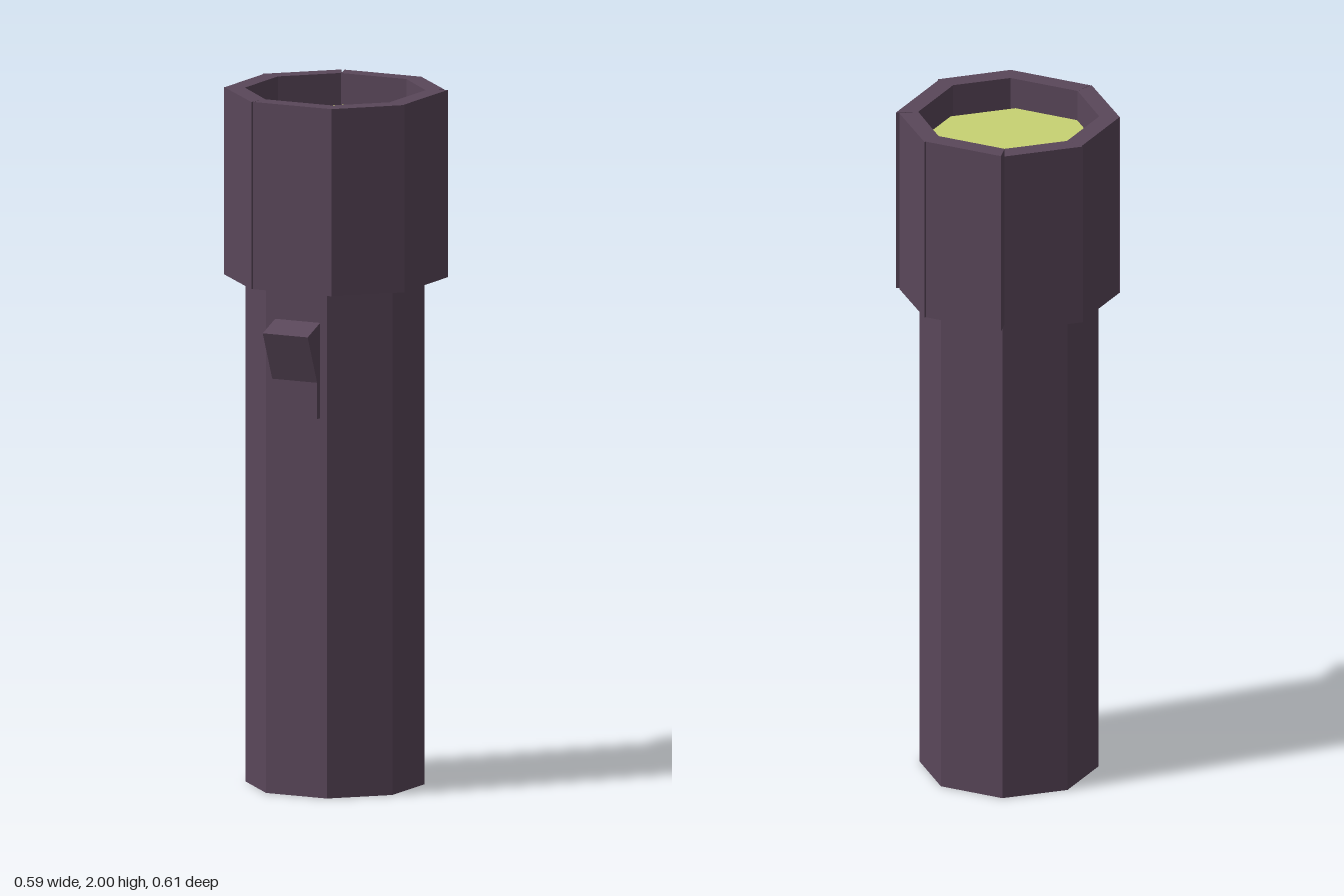
import * as THREE from 'three';

const casing = new THREE.MeshStandardMaterial({ name: 'dark plum casing', color: 0x5a475a, flatShading: true });
const glass = new THREE.MeshStandardMaterial({ name: 'pale yellow lens', color: 0xc8d272, flatShading: true });

const TOP = 2, HEAD_BOTTOM = 1.46, LENS_Y = 1.91, LENS_THICK = 0.008;

// Eight-sided prism with flat faces to the front and sides
function octagon(name, apothem, y0, y1, material) {
  const r = apothem / Math.cos(Math.PI / 8);
  const geo = new THREE.CylinderGeometry(r, r, y1 - y0, 8);
  geo.rotateY(Math.PI / 8);
  const mesh = new THREE.Mesh(geo, material);
  mesh.name = name;
  mesh.position.set(0.002, (y0 + y1) / 2, -0.007);
  return mesh;
}

// Upright wall segment from a plan outline of [x, z] points
function wall(points, y0, y1) {
  const shape = new THREE.Shape(points.map(([x, z]) => new THREE.Vector2(x, -z)));
  const geo = new THREE.ExtrudeGeometry(shape, { depth: y1 - y0, bevelEnabled: false });
  geo.rotateX(-Math.PI / 2);
  geo.translate(0, y0, 0);
  return new THREE.Mesh(geo, casing);
}

export function createModel() {
  const model = new THREE.Group();
  model.name = 'flashlight';

  // Handle runs up inside the head and carries the lens
  model.add(octagon('handle', 0.2355, 0, LENS_Y - LENS_THICK, casing));
  model.add(octagon('lens', 0.2355, LENS_Y - LENS_THICK, LENS_Y, glass));

  // Head: eight slightly mismatched slabs around the lens
  const inner = [
    [-0.098, 0.228], [0.115, 0.228], [0.237, 0.107], [0.237, -0.113],
    [0.105, -0.247], [-0.105, -0.247], [-0.237, -0.115], [-0.237, 0.088],
  ];
  const outer = [
    [[-0.11, 0.282], [0.142, 0.282]],
    [[0.142, 0.282], [0.295, 0.127]],
    [[0.291, 0.127], [0.291, -0.147]],
    [[0.28, -0.147], [0.12, -0.305]],
    [[0.12, -0.3], [-0.12, -0.3]],
    [[-0.13, -0.298], [-0.296, -0.132]],
    [[-0.291, -0.13], [-0.291, 0.107]],
    [[-0.294, 0.107], [-0.113, 0.285]],
  ];
  const head = new THREE.Group();
  head.name = 'head';
  outer.forEach(([a, b], i) => {
    const slab = wall([inner[i], a, b, inner[(i + 1) % 8]], HEAD_BOTTOM, TOP);
    slab.name = 'headPanel';
    head.add(slab);
  });
  model.add(head);

  // Rocker switch: side profile in (z, y), extruded across x
  const profile = [[0.2, 1.095], [0.247, 1.095], [0.247, 1.2], [0.305, 1.34], [0.228, 1.37], [0.2, 1.37]];
  const shape = new THREE.Shape(profile.map(([z, y]) => new THREE.Vector2(z, y)));
  const geo = new THREE.ExtrudeGeometry(shape, { depth: 0.144, bevelEnabled: false });
  geo.rotateY(-Math.PI / 2);
  geo.translate(0.078, 0, 0);
  const rocker = new THREE.Mesh(geo, casing);
  rocker.name = 'switch';
  model.add(rocker);

  return model;
}
